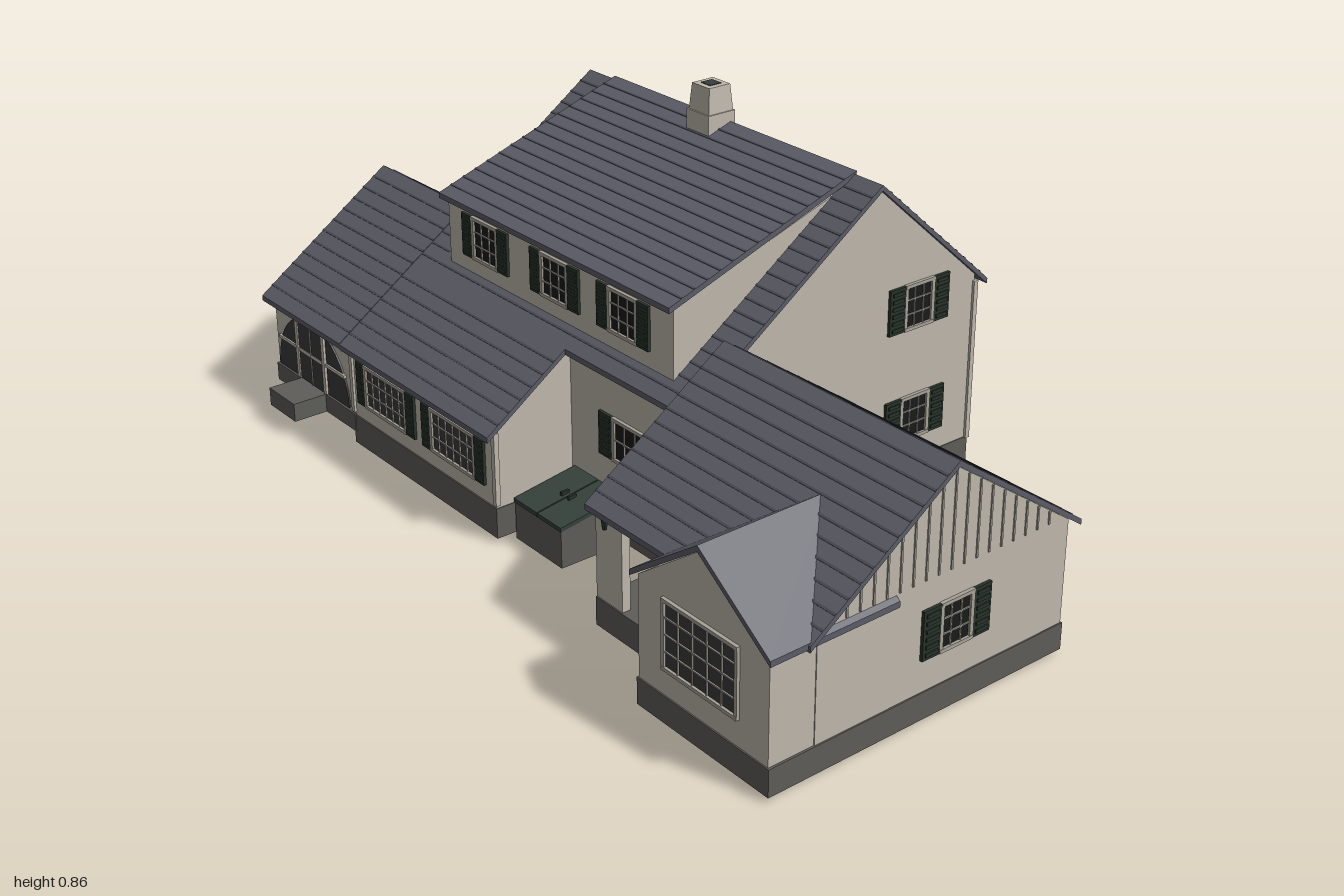
import * as THREE from 'three';

const mat = (color) => new THREE.MeshStandardMaterial({ color, flatShading: true, side: THREE.DoubleSide });
const M = {
  wall: mat(0xbfb8ad), trim: mat(0xa8a298), roof: mat(0x5d5d68), shingle: mat(0x4c4c56),
  stone: mat(0x5e5d59), shutter: mat(0x28332a), glass: mat(0x191a1b), screen: mat(0x3a3b3c), green: mat(0x35423a),
};

function mesh(parent, name, geo, material) {
  const m = new THREE.Mesh(geo, material);
  m.name = name;
  parent.add(m);
  return m;
}

// Box given by its minimum and maximum corners
function block(parent, name, material, x0, x1, y0, y1, z0, z1) {
  const m = mesh(parent, name, new THREE.BoxGeometry(x1 - x0, y1 - y0, z1 - z0), material);
  m.position.set((x0 + x1) / 2, (y0 + y1) / 2, (z0 + z1) / 2);
  return m;
}

const extrude = (pts, depth) => new THREE.ExtrudeGeometry(
  new THREE.Shape(pts.map((p) => new THREE.Vector2(p[0], p[1]))), { depth, bevelEnabled: false });

// Outline in (z, y) swept from x0 to x1
function prismX(parent, name, material, pts, x0, x1) {
  const m = mesh(parent, name, extrude(pts, x1 - x0), material);
  m.rotation.y = -Math.PI / 2;
  m.position.x = x1;
  return m;
}

// Outline in (x, y) swept from z0 to z1
function prismZ(parent, name, material, pts, z0, z1) {
  const m = mesh(parent, name, extrude(pts, z1 - z0), material);
  m.position.z = z0;
  return m;
}

// Roof slab following a line, thickened downwards
const T = 0.013;
const slab = (line) => [...line, ...line.slice().reverse().map(([a, y]) => [a, y - T])];

// Roof in (z, y) along x, with raised shingle courses
function roof(parent, name, line, x0, x1) {
  const g = new THREE.Group();
  g.name = name;
  parent.add(g);
  prismX(g, 'roofSlab', M.roof, slab(line), x0, x1);
  for (let i = 0; i < line.length - 1; i++) {
    const [za, ya] = line[i], [zb, yb] = line[i + 1];
    const len = Math.hypot(zb - za, yb - ya), n = Math.max(2, Math.round(len / 0.035));
    for (let k = 1; k < n; k++) {
      const t = k / n;
      const c = mesh(g, 'shingleCourse', new THREE.BoxGeometry(x1 - x0, 0.003, 0.005), M.shingle);
      c.position.set((x0 + x1) / 2, ya + (yb - ya) * t, za + (zb - za) * t);
      c.rotation.x = -Math.atan2(yb - ya, zb - za);
    }
  }
}

// Window facing local +z, centred on its position, with optional louvred shutters
function windowUnit(parent, name, x, y, z, turn, w, h, cols, rows, shutterW = 0, pane = M.glass) {
  const g = new THREE.Group();
  g.name = name;
  g.position.set(x, y, z);
  g.rotation.y = turn;
  parent.add(g);
  const hw = w / 2, hh = h / 2;
  block(g, 'pane', pane, -hw, hw, -hh, hh, -0.004, 0.002);
  for (const s of [-1, 1]) {
    block(g, 'jamb', M.trim, s * hw - 0.004, s * hw + 0.004, -hh, hh, 0, 0.007);
    block(g, s < 0 ? 'sill' : 'head', M.trim, -hw - 0.004, hw + 0.004, s * hh - 0.004, s * hh + 0.004, 0, 0.008);
    if (shutterW) {
      const c = s * (hw + 0.004 + shutterW / 2);
      block(g, 'shutter', M.shutter, c - shutterW / 2, c + shutterW / 2, -hh - 0.003, hh + 0.003, 0, 0.007);
      for (let k = 0; k < 6; k++) {
        const ly = -hh + (k + 0.5) * h / 6;
        block(g, 'louvre', M.shutter, c - shutterW * 0.36, c + shutterW * 0.36, ly - 0.004, ly + 0.004, 0.006, 0.01);
      }
    }
  }
  for (let i = 1; i < cols; i++) {
    const mx = -hw + w * i / cols;
    block(g, 'muntin', M.trim, mx - 0.0015, mx + 0.0015, -hh, hh, 0, 0.005);
  }
  for (let j = 1; j < rows; j++) {
    const my = -hh + h * j / rows;
    block(g, 'muntin', M.trim, -hw, hw, my - 0.0015, my + 0.0015, 0, 0.005);
  }
}

// Half-round screen with a door in the middle
function archScreen(parent, x, y, z, turn) {
  const g = new THREE.Group();
  g.name = 'archScreen';
  g.position.set(x, y, z);
  g.rotation.y = turn;
  parent.add(g);
  const arc = [];
  for (let i = 0; i <= 20; i++) arc.push([0.16 * Math.cos(Math.PI * i / 20), 0.165 * Math.sin(Math.PI * i / 20)]);
  prismZ(g, 'archPane', M.screen, arc, -0.003, 0.003);
  block(g, 'door', M.screen, -0.055, 0.055, 0, 0.168, 0, 0.006);
  for (const s of [-1, 1]) block(g, 'doorPost', M.wall, s * 0.06 - 0.006, s * 0.06 + 0.006, 0, 0.168, 0, 0.009);
  block(g, 'rail', M.wall, -0.15, 0.15, 0.072, 0.08, 0, 0.007);
  block(g, 'doorMullion', M.trim, -0.002, 0.002, 0, 0.168, 0, 0.008);
}

function lamp(parent, x, y, z, s) {
  block(parent, 'lampBracket', M.shutter, x - 0.003, x + 0.003, y + 0.01, y + 0.016, Math.min(z, z + s * 0.018), Math.max(z, z + s * 0.018));
  const m = mesh(parent, 'lamp', new THREE.CylinderGeometry(0.008, 0.005, 0.022, 6), M.shutter);
  m.position.set(x, y, z + s * 0.016);
}

export function createModel() {
  const house = new THREE.Group();
  house.name = 'house';
  const R = Math.PI / 2;

  // Main block: tall back section plus the lower front-left room
  const main = new THREE.Group();
  main.name = 'mainBlock';
  house.add(main);
  prismX(main, 'mainWalls', M.wall, [[-0.54, 0.09], [0.26, 0.09], [0.26, 0.408], [-0.24, 0.758], [-0.54, 0.49]], -0.635, 0.345);
  prismX(main, 'frontRoomWalls', M.wall, [[0.26, 0.08], [0.46, 0.08], [0.46, 0.268], [0.26, 0.408]], -0.635, -0.06);
  block(main, 'foundation', M.stone, -0.637, 0.347, 0.01, 0.092, -0.543, 0.263);
  block(main, 'frontRoomFoundation', M.stone, -0.637, -0.058, 0.01, 0.082, 0.26, 0.463);
  roof(main, 'mainRoof', [[-0.57, 0.475], [-0.24, 0.77], [0.28, 0.406]], -0.645, 0.355);
  roof(main, 'frontRoomRoof', [[0.28, 0.406], [0.485, 0.262]], -0.645, -0.05);
  for (const [x, z] of [[-0.635, -0.54], [0.345, -0.54], [0.345, 0.26], [-0.06, 0.46], [-0.635, 0.46]]) {
    block(main, 'cornerBoard', M.wall, x - 0.006, x + 0.006, 0.09, z > 0.4 ? 0.262 : z > 0 ? 0.4 : 0.475, z - 0.006, z + 0.006);
  }

  // Shed dormer
  prismX(main, 'dormerWalls', M.wall, [[-0.24, 0.75], [0.237, 0.43], [0.237, 0.595]], -0.545, 0.262);
  roof(main, 'dormerRoof', [[-0.245, 0.776], [0.255, 0.604]], -0.555, 0.27);
  for (const x of [-0.398, -0.138, 0.1]) windowUnit(main, 'dormerWindow', x, 0.525, 0.237, 0, 0.09, 0.095, 3, 3, 0.038);

  // Main block windows
  for (const x of [-0.49, -0.218]) windowUnit(main, 'frontWindow', x, 0.176, 0.46, 0, 0.165, 0.1, 6, 3, 0.034, M.screen);
  windowUnit(main, 'entryWindow', 0.165, 0.245, 0.26, 0, 0.14, 0.095, 4, 2, 0.046);
  for (const y of [0.2, 0.467]) {
    windowUnit(main, 'rightWindow', 0.345, y, -0.367, R, 0.078, 0.1, 3, 3, 0.045);
    windowUnit(main, 'leftWindow', -0.635, y, -0.367, -R, 0.078, 0.1, 3, 3, 0.045);
  }
  for (const x of [0.19, -0.415]) windowUnit(main, 'backWindow', x, 0.2, -0.54, Math.PI, 0.155, 0.105, 5, 3, 0.04);
  block(main, 'backStep', M.stone, -0.223, -0.04, 0.07, 0.092, -0.62, -0.54);
  lamp(main, -0.02, 0.262, -0.543, -1);

  // Chimney with a tapered, hollow pot
  block(main, 'chimneyBase', M.wall, -0.212, -0.135, 0.72, 0.8, -0.258, -0.182);
  const pot = mesh(main, 'chimneyTop', new THREE.CylinderGeometry(0.042, 0.049, 0.06, 4), M.wall);
  pot.rotation.y = Math.PI / 4;
  pot.position.set(-0.173, 0.83, -0.22);
  block(main, 'flue', M.screen, -0.189, -0.157, 0.85, 0.8615, -0.236, -0.204);

  // Cellar bulkhead beside the entry wall
  prismX(house, 'bulkheadBase', M.stone, [[0.26, 0], [0.42, 0], [0.42, 0.088], [0.26, 0.112]], -0.05, 0.115);
  for (const s of [0, 1]) {
    prismX(house, 'bulkheadDoor', M.green, [[0.26, 0.112], [0.422, 0.088], [0.422, 0.098], [0.26, 0.122]], -0.052 + s * 0.086, 0.031 + s * 0.086);
    block(house, 'bulkheadHandle', M.shutter, 0.017 + s * 0.025, 0.023 + s * 0.025, 0.1, 0.118, 0.33, 0.35);
  }

  // Sunroom on the low-x side
  const sun = new THREE.Group();
  sun.name = 'sunroom';
  house.add(sun);
  prismX(sun, 'sunroomWalls', M.wall, [[-0.18, 0.08], [0.46, 0.08], [0.46, 0.268], [0.13, 0.5], [-0.18, 0.285]], -0.985, -0.63);
  block(sun, 'sunroomFloor', M.stone, -0.99, -0.63, 0.04, 0.085, -0.185, 0.465);
  roof(sun, 'sunroomRoof', [[-0.21, 0.277], [0.13, 0.513], [0.485, 0.264]], -1, -0.645);
  archScreen(sun, -0.815, 0.09, 0.461, 0);
  archScreen(sun, -0.815, 0.09, -0.181, Math.PI);
  for (let i = 0; i < 3; i++) {
    windowUnit(sun, 'sideScreen', -0.985, 0.172, -0.07 + i * 0.21, -R, 0.19, 0.155, 1, 2, 0, M.screen);
  }
  block(sun, 'frontStep', M.stone, -0.877, -0.762, 0.04, 0.085, 0.46, 0.55);

  // Garage wing with an open passage next to the main block
  const wing = new THREE.Group();
  wing.name = 'wing';
  house.add(wing);
  const gable = [[0.5, 0.303], [0.18, 0.527], [-0.145, 0.3]];
  prismX(wing, 'wingWalls', M.wall, [[-0.145, 0.06], [0.5, 0.06], ...gable], 0.605, 0.985);
  prismX(wing, 'passageCeiling', M.wall, [[-0.145, 0.268], [0.5, 0.268], ...gable], 0.345, 0.605);
  block(wing, 'passageFloor', M.stone, 0.345, 0.607, 0.01, 0.075, -0.148, 0.503);
  for (const z of [-0.145, 0.48]) {
    block(wing, 'passageWall', M.wall, 0.345, 0.428, 0.07, 0.27, z, z + 0.02);
    block(wing, 'passageWall', M.wall, 0.538, 0.61, 0.07, 0.27, z, z + 0.02);
  }
  block(wing, 'wingFoundation', M.stone, 0.605, 0.988, 0.01, 0.07, -0.148, 0.503);
  roof(wing, 'wingRoof', [[-0.165, 0.3], [0.18, 0.541], [0.53, 0.296]], 0.35, 1);
  lamp(wing, 0.395, 0.265, 0.5, 1);
  windowUnit(wing, 'wingRightWindow', 0.985, 0.195, 0.155, R, 0.078, 0.1, 3, 3, 0.045);
  windowUnit(wing, 'wingBackWindow', 0.845, 0.195, -0.145, Math.PI, 0.085, 0.1, 3, 3, 0.042);

  // Front cross gable of the wing
  prismZ(wing, 'crossGableWalls', M.wall, [[0.617, 0.06], [0.983, 0.06], [0.983, 0.293], [0.798, 0.424], [0.617, 0.293]], 0.35, 0.607);
  block(wing, 'crossGableFoundation', M.stone, 0.614, 0.988, 0.01, 0.07, 0.5, 0.61);
  prismZ(wing, 'crossGableRoof', M.roof, slab([[0.603, 0.3], [0.798, 0.438], [0.995, 0.3]]), 0.31, 0.617);
  windowUnit(wing, 'bayWindow', 0.798, 0.205, 0.607, 0, 0.205, 0.145, 5, 4, 0, M.screen);

  // Vertical battens on the two end gables
  for (let z = -0.12; z < 0.44; z += 0.0325) {
    const y = 0.525 - Math.abs(z - 0.18) * 0.7;
    if (y > 0.32) block(wing, 'gableBatten', M.trim, 0.984, 0.988, 0.31, y, z - 0.002, z + 0.002);
    const ys = 0.498 - Math.abs(z - 0.13) * 0.7;
    if (ys > 0.29) block(sun, 'gableBatten', M.trim, -0.988, -0.984, 0.27, ys, z - 0.002, z + 0.002);
  }
  return house;
}
